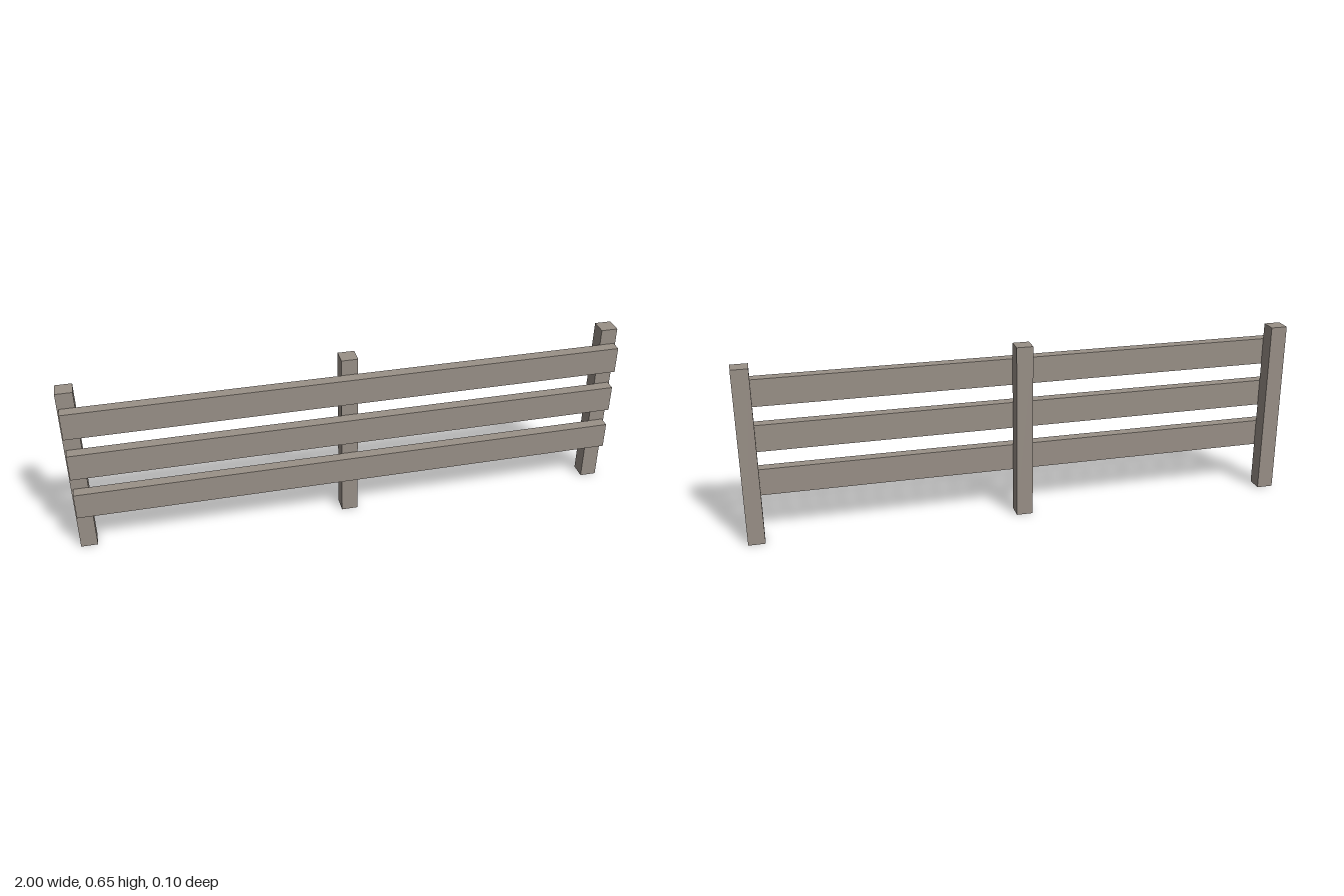
import * as THREE from 'three';

export function createModel() {
  const fence = new THREE.Group();
  fence.name = 'fence';
  const wood = new THREE.MeshStandardMaterial({ color: 0x9a9188 });
  wood.name = 'weathered wood';

  const addBox = (name, size, position) => {
    const mesh = new THREE.Mesh(new THREE.BoxGeometry(...size), wood);
    mesh.name = name;
    mesh.position.set(...position);
    fence.add(mesh);
  };

  // Three square posts
  const postHeight = 0.648;
  [['rightPost', -0.97], ['middlePost', 0], ['leftPost', 0.97]].forEach(([name, x]) =>
    addBox(name, [0.06, postHeight, 0.06], [x, postHeight / 2, -0.02]));

  // Three rails fixed to the front of the posts
  [['lowerRail', 0.209], ['middleRail', 0.374], ['upperRail', 0.54]].forEach(([name, y]) =>
    addBox(name, [1.988, 0.098, 0.04], [0, y, 0.03]));

  return fence;
}
